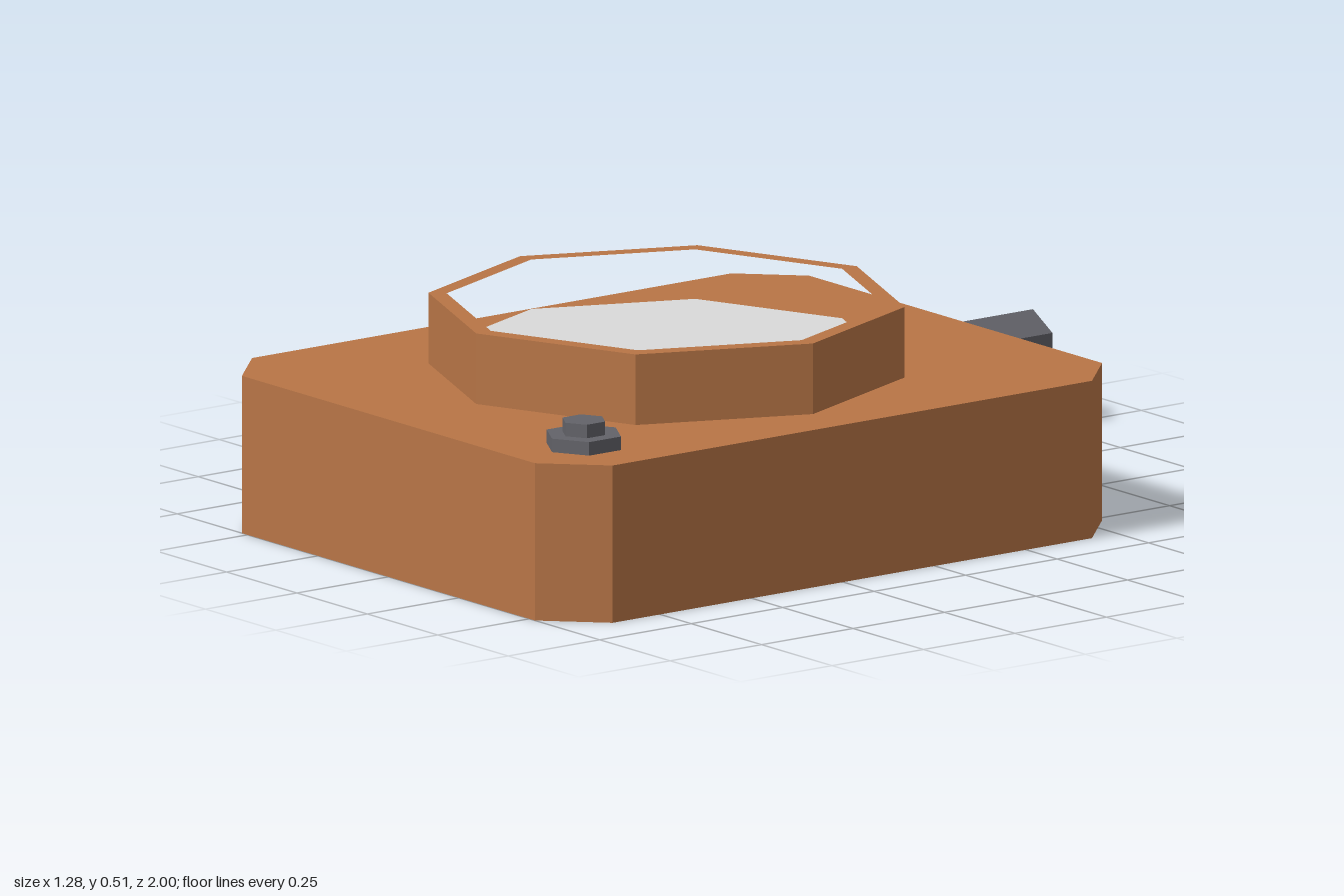
import * as THREE from 'three';

const flat = (name, color) => {
  const m = new THREE.MeshStandardMaterial({ color, flatShading: true });
  m.name = name;
  return m;
};

// Regular polygon outline with its first corner pointing along y
const polygon = (Type, radius, sides) => {
  const pts = [];
  for (let i = 0; i < sides; i++) {
    const a = (i / sides) * Math.PI * 2;
    pts.push(new THREE.Vector2(Math.sin(a) * radius, Math.cos(a) * radius));
  }
  return new Type(pts);
};

// Extrude a plan outline upwards
const extrudeUp = (shape, depth) =>
  new THREE.ExtrudeGeometry(shape, { depth, bevelEnabled: false }).rotateX(-Math.PI / 2);

export function createModel() {
  const model = new THREE.Group();
  model.name = 'housing';
  const copper = flat('copper', 0xb87546);
  const silver = flat('silver', 0xdadada);
  const steel = flat('darkSteel', 0x636369);

  const add = (name, geometry, material, x, y, z) => {
    const mesh = new THREE.Mesh(geometry, material);
    mesh.name = name;
    mesh.position.set(x, y, z);
    model.add(mesh);
    return mesh;
  };

  // Block with chamfered vertical corners
  const w = 0.64, d = 0.775, c = 0.12;
  const plan = new THREE.Shape([
    [w - c, -d], [w, -d + c], [w, d - c], [w - c, d],
    [-w + c, d], [-w, d - c], [-w, -d + c], [-w + c, -d],
  ].map(([x, y]) => new THREE.Vector2(x, y)));
  add('body', extrudeUp(plan, 0.35), copper, 0, 0, 0.225);

  // Octagonal rim around the recessed plate
  const rim = polygon(THREE.Shape, 0.52, 8);
  rim.holes.push(polygon(THREE.Path, 0.48, 8));
  add('rim', extrudeUp(rim, 0.157), copper, 0, 0.35, 0.24);
  add('plate', new THREE.CylinderGeometry(0.48, 0.48, 0.05, 8), silver, 0, 0.372, 0.24);

  // Hexagonal bolt in the front corner
  add('boltFlange', new THREE.CylinderGeometry(0.087, 0.087, 0.03, 6), steel, 0.46, 0.365, 0.82);
  add('boltHead', new THREE.CylinderGeometry(0.05, 0.05, 0.03, 6), steel, 0.46, 0.395, 0.82);

  // Hexagonal rod out of the back
  const rod = new THREE.CylinderGeometry(0.08, 0.08, 0.47, 6).rotateX(Math.PI / 2);
  add('rod', rod, steel, -0.31, 0.17, -0.765);

  return model;
}
